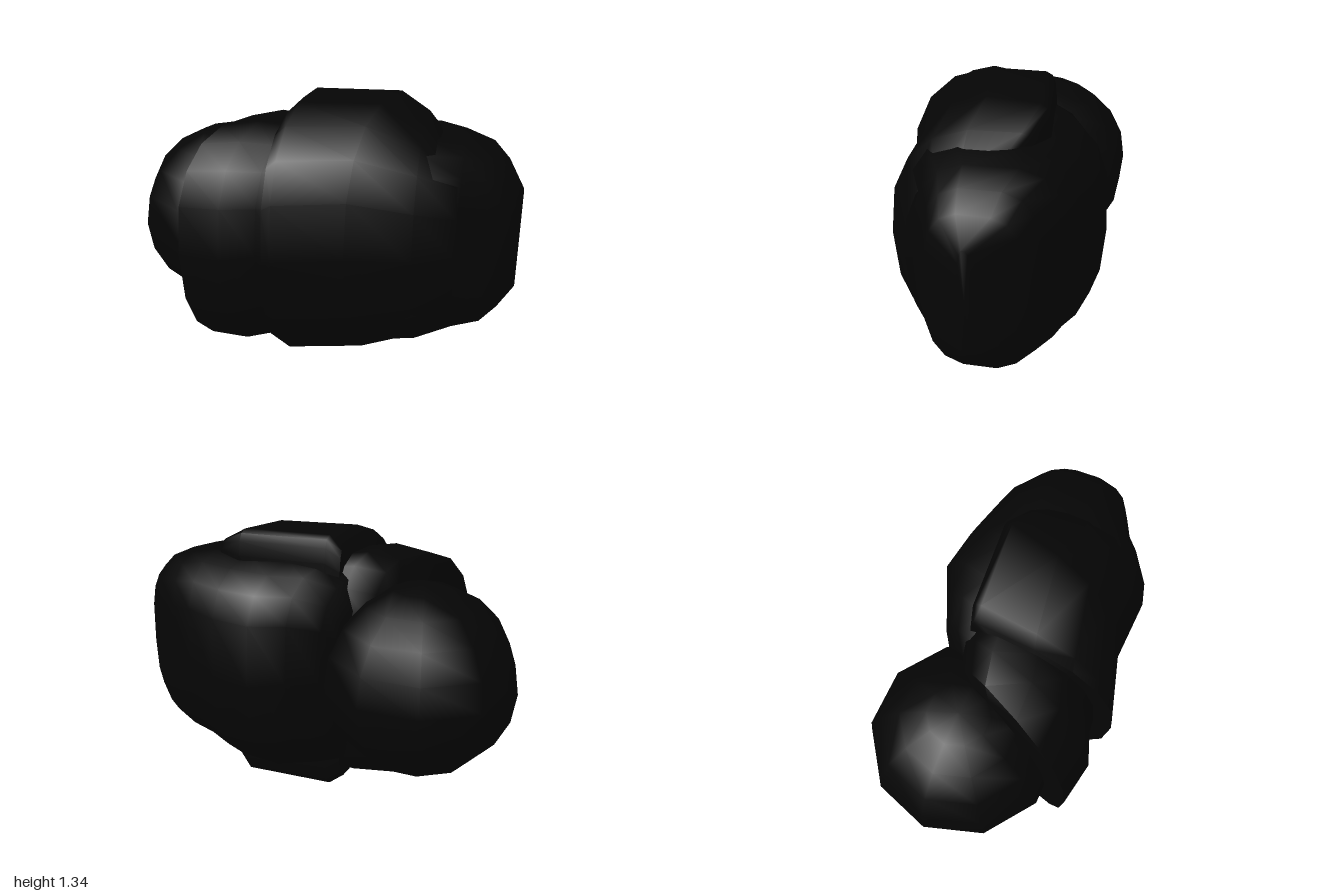
import * as THREE from 'three';
import { toCreasedNormals } from 'three/addons/utils/BufferGeometryUtils.js';

const SIDES = 18;

// Cross-sections: front x, z, back x, z, bottom y, top y
const MAIN = [
  [-0.43, 0.22, -0.17, -0.33, 0.30, 1.02],
  [-0.36, 0.27, -0.11, -0.39, 0.16, 1.15],
  [-0.22, 0.36, 0.04, -0.46, 0.11, 1.20],
  [-0.05, 0.40, 0.20, -0.54, 0.09, 1.21],
  [0.20, 0.41, 0.41, -0.51, 0.09, 1.21],
  [0.52, 0.42, 0.57, -0.46, 0.15, 1.21],
  [0.71, 0.29, 0.69, -0.42, 0.19, 1.18],
  [0.84, 0.22, 0.84, -0.32, 0.22, 1.14],
  [0.92, 0.18, 0.92, -0.26, 0.31, 1.06],
  [1.0, 0.01, 1.0, -0.05, 0.41, 0.94],
];
const FRONT = [
  [-0.17, 0.55, -0.14, -0.22, 0.05, 1.29],
  [-0.13, 0.54, -0.07, -0.24, 0.0, 1.34],
  [0.20, 0.44, 0.37, -0.28, 0.01, 1.34],
  [0.52, 0.45, 0.51, -0.22, 0.14, 1.26],
  [0.71, 0.33, 0.62, -0.12, 0.22, 1.15],
];
const LIP = [
  [-0.60, 0.44, -0.35, -0.16, 0.12, 1.16],
  [-0.61, 0.48, -0.29, -0.22, 0.05, 1.22],
  [-0.39, 0.52, -0.16, -0.28, 0.05, 1.25],
  [-0.23, 0.46, -0.04, -0.28, 0.08, 1.23],
  [-0.08, 0.44, 0.05, -0.28, 0.08, 1.23],
];

const power = (v, p) => Math.sign(v) * Math.abs(v) ** p;

// Skins the sections. pivot places the tallest point between back (0) and
// front (1); the powers set how square each part is, lower being squarer.
function loft(sections, pivot, { backTop, backBottom, front }) {
  const positions = [];
  const index = [];
  for (const [fx, fz, bx, bz, y0, y1] of sections) {
    for (let j = 0; j < SIDES; j++) {
      const a = (j / SIDES) * Math.PI * 2;
      const c = Math.cos(a), s = Math.sin(a);
      const p = c > 0 ? front : s > 0 ? backTop : backBottom;
      const t = pivot + (c > 0 ? 1 - pivot : pivot) * power(c, p);
      positions.push(
        bx + (fx - bx) * t,
        (y0 + y1) / 2 + ((y1 - y0) / 2) * power(s, p),
        bz + (fz - bz) * t
      );
    }
  }
  const last = sections.length - 1;
  for (let i = 0; i < last; i++) {
    for (let j = 0; j < SIDES; j++) {
      const a = i * SIDES + j, b = i * SIDES + ((j + 1) % SIDES);
      const c = a + SIDES, d = b + SIDES;
      index.push(a, c, b, b, c, d);
    }
  }
  // Close both ends with fans
  for (const i of [0, last]) {
    const [fx, fz, bx, bz, y0, y1] = sections[i];
    const centre = positions.length / 3;
    positions.push((fx + bx) / 2, (y0 + y1) / 2, (fz + bz) / 2);
    for (let j = 0; j < SIDES; j++) {
      const a = i * SIDES + j, b = i * SIDES + ((j + 1) % SIDES);
      if (i === 0) index.push(centre, a, b);
      else index.push(centre, b, a);
    }
  }
  const geometry = new THREE.BufferGeometry();
  geometry.setAttribute('position', new THREE.Float32BufferAttribute(positions, 3));
  geometry.setIndex(index);
  return toCreasedNormals(geometry, 1.0);
}

export function createModel() {
  const group = new THREE.Group();
  const black = new THREE.MeshStandardMaterial({ color: 0x050505 });
  black.name = 'black';

  const add = (name, geometry) => {
    const mesh = new THREE.Mesh(geometry, black);
    mesh.name = name;
    group.add(mesh);
    return mesh;
  };

  // Rounded rear mass, with a raised front shell and side lip laid over it
  add('mainBody', loft(MAIN, 0.5, { backTop: 0.58, backBottom: 0.75, front: 0.65 }));
  add('frontShell', loft(FRONT, 0.25, { backTop: 0.2, backBottom: 0.2, front: 0.8 }));
  add('sideLip', loft(LIP, 0.4, { backTop: 0.65, backBottom: 0.65, front: 0.8 }));

  // Round ball sunk into the slanted end
  add('ball', new THREE.SphereGeometry(0.48, 10, 10)).position.set(-0.52, 0.65, -0.1);

  return group;
}
